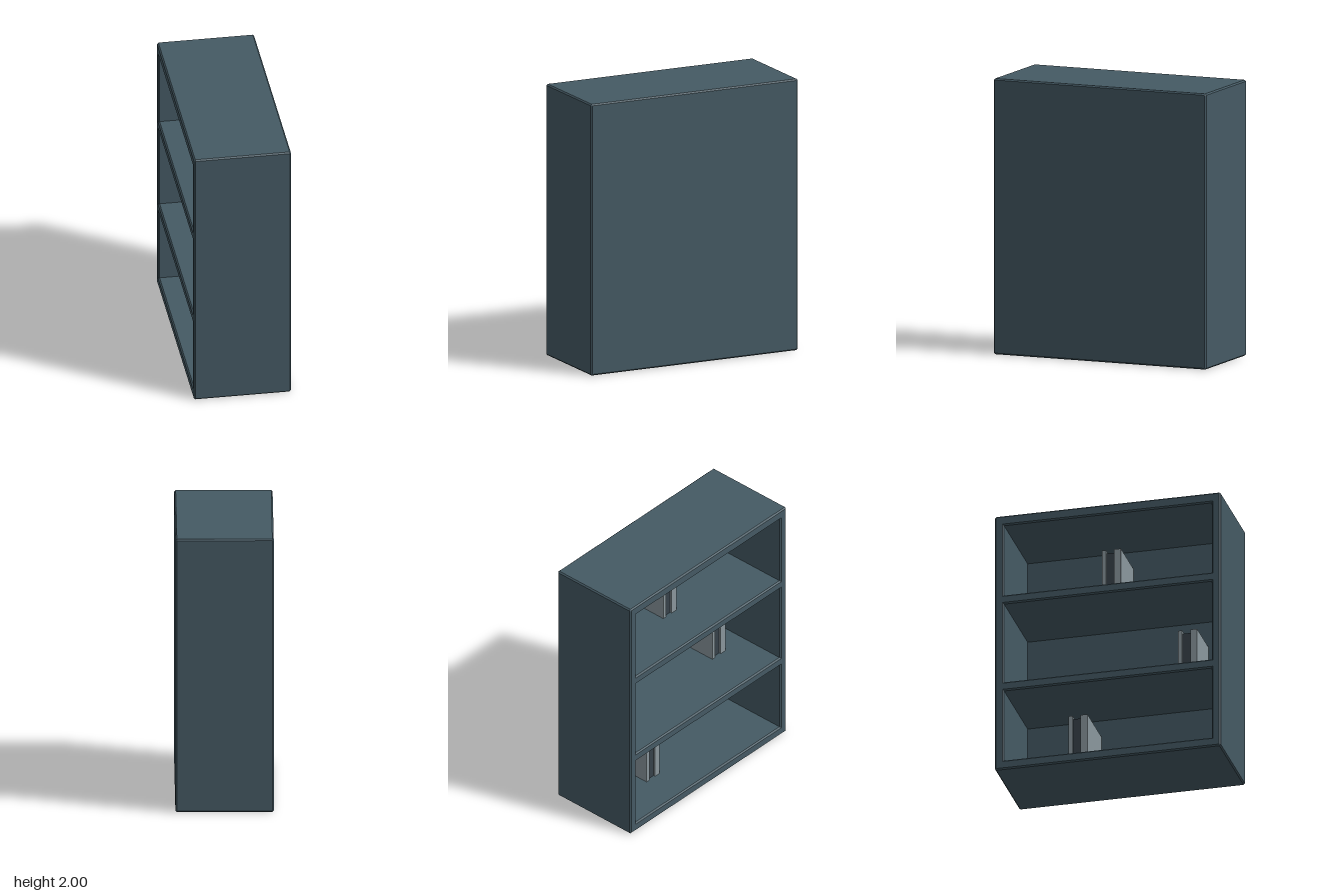
import * as THREE from 'three';

const W = 0.352, D = 0.835, H = 2, BEVEL = 0.01, BACK = 0.325;

function material(name, color) {
  const m = new THREE.MeshStandardMaterial({ color });
  m.name = name;
  return m;
}

function box(name, mat, x0, x1, y0, y1, z0, z1) {
  const mesh = new THREE.Mesh(new THREE.BoxGeometry(x1 - x0, y1 - y0, z1 - z0), mat);
  mesh.position.set((x0 + x1) / 2, (y0 + y1) / 2, (z0 + z1) / 2);
  mesh.name = name;
  return mesh;
}

export function createModel() {
  const group = new THREE.Group();
  group.name = 'bookcase';
  const slate = material('slate', 0x455a64);
  const grey = material('paleGrey', 0x8a979d);
  const dark = material('darkGrey', 0x37424a);

  // Carcass: chamfered outline with three compartments, opening towards -x
  const c = BEVEL;
  const outline = new THREE.Shape([
    [-D + c, 0], [D - c, 0], [D, c], [D, H - c],
    [D - c, H], [-D + c, H], [-D, H - c], [-D, c],
  ].map(([z, y]) => new THREE.Vector2(z, y)));
  const side = 0.768;
  const compartments = [[0.07, 0.62], [0.688, 1.306], [1.374, 1.925]];
  for (const [y0, y1] of compartments) {
    outline.holes.push(new THREE.Path([
      [-side, y0], [-side, y1], [side, y1], [side, y0],
    ].map(([z, y]) => new THREE.Vector2(z, y))));
  }
  const geometry = new THREE.ExtrudeGeometry(outline, {
    depth: 2 * (W - BEVEL), bevelEnabled: true, bevelSegments: 1,
    bevelSize: BEVEL, bevelThickness: BEVEL, bevelOffset: -BEVEL,
  });
  geometry.rotateY(-Math.PI / 2).translate(W - BEVEL, 0, 0);
  const carcass = new THREE.Mesh(geometry, slate);
  carcass.name = 'carcass';
  group.add(carcass);

  // Back panel closes the compartments
  group.add(box('backPanel', slate, BACK, W + 0.0005, 0.012, H - 0.012, -D + 0.012, D - 0.012));

  // One small group of books against the back of each shelf
  const shelves = [[0, -0.36, -0.08], [1, 0.43, 0], [2, -0.126, -0.03]];
  for (const [level, z, x] of shelves) {
    const books = new THREE.Group();
    books.name = 'books' + (level + 1);
    const y = compartments[level][0];
    books.add(box('greyBook', grey, x, BACK, y, y + 0.42, z, z + 0.03));
    books.add(box('darkBook', dark, x + 0.015, BACK, y, y + 0.4, z + 0.03, z + 0.09));
    books.add(box('slateBook', grey, x, BACK, y, y + 0.42, z + 0.09, z + 0.14));
    group.add(books);
  }
  return group;
}
